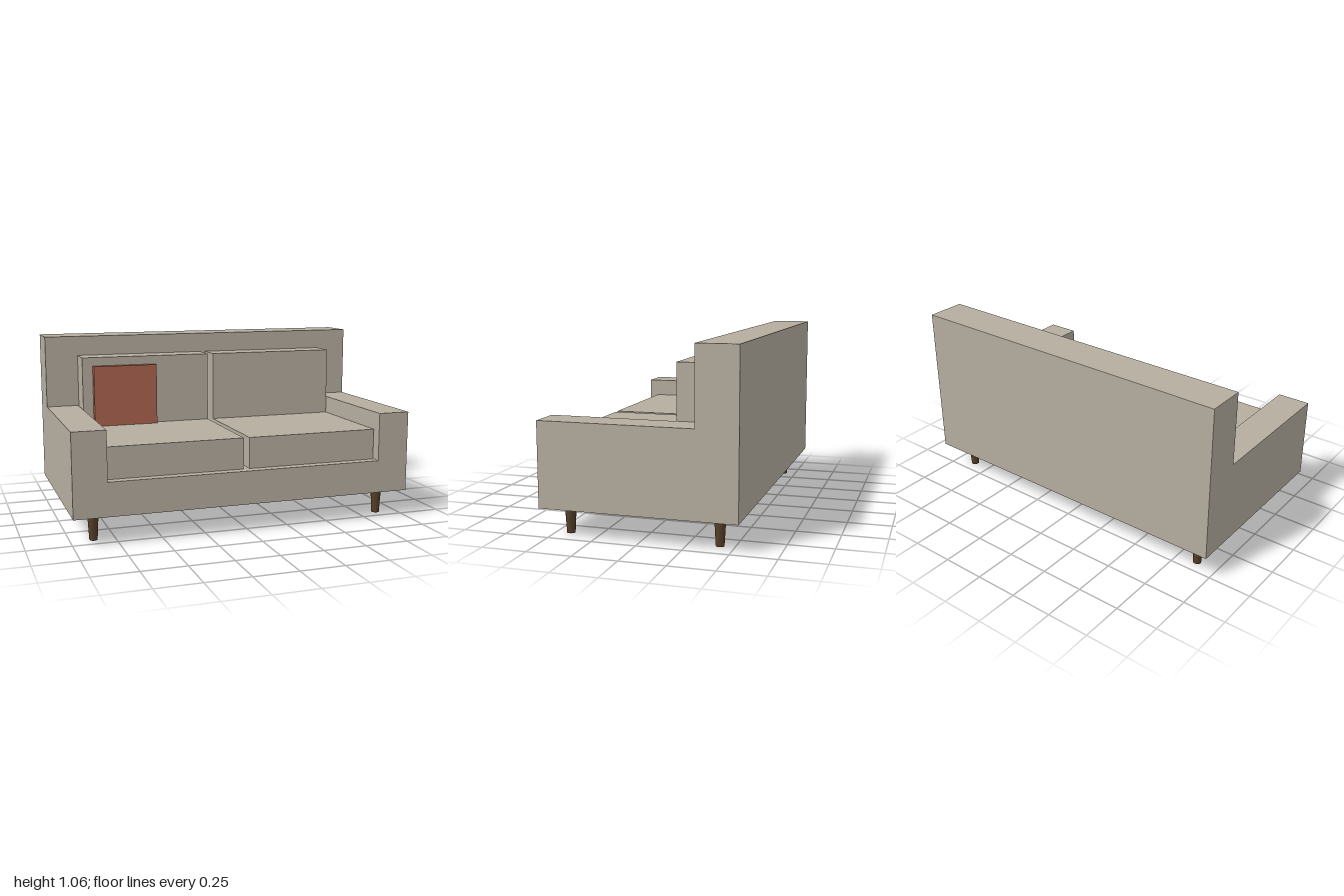
import * as THREE from 'three';

export function createModel() {
  const sofa = new THREE.Group();
  sofa.name = 'sofa';

  const material = (name, color) => {
    const m = new THREE.MeshStandardMaterial({ color });
    m.name = name;
    return m;
  };
  const fabric = material('beige fabric', 0xb5ad9f);
  const rust = material('rust fabric', 0xac6450);
  const wood = material('dark wood', 0x553e28);

  const add = (name, geometry, mat) => {
    const mesh = new THREE.Mesh(geometry, mat);
    mesh.name = name;
    sofa.add(mesh);
    return mesh;
  };
  // Box given by its limits on each axis
  const block = (name, [x0, x1], [y0, y1], [z0, z1], mat) =>
    add(name, new THREE.BoxGeometry(x1 - x0, y1 - y0, z1 - z0), mat)
      .position.set((x0 + x1) / 2, (y0 + y1) / 2, (z0 + z1) / 2);

  const bottom = 0.157, deck = 0.35, seatTop = 0.53, armTop = 0.633;
  const backFront = -0.32, front = 0.548;

  // Base and both arms: one U-shaped section run from front to back
  const section = new THREE.Shape([
    [-1, bottom], [1, bottom], [1, armTop], [0.81, armTop],
    [0.81, deck], [-0.81, deck], [-0.81, armTop], [-1, armTop],
  ].map(([x, y]) => new THREE.Vector2(x, y)));
  add('baseAndArms', new THREE.ExtrudeGeometry(section, { depth: front - backFront, bevelEnabled: false }), fabric)
    .position.z = backFront;

  block('backrest', [-1, 1], [bottom, 1.06], [-front, backFront], fabric);

  // Cushions, one pair per side
  for (const [side, x] of [['right', [-0.805, -0.017]], ['left', [0.017, 0.805]]]) {
    block(side + 'SeatCushion', x, [deck, seatTop], [backFront, 0.492], fabric);
    block(side + 'BackCushion', x, [seatTop, 0.943], [backFront, -0.163], fabric);
  }

  block('throwPillow', [-0.743, -0.357], [seatTop, 0.892], [-0.163, -0.124], rust);

  // Tapered legs
  const leg = new THREE.CylinderGeometry(0.032, 0.023, bottom, 16);
  for (const x of [-0.871, 0.871])
    for (const z of [-0.42, 0.42])
      add((z > 0 ? 'front' : 'back') + (x > 0 ? 'Left' : 'Right') + 'Leg', leg, wood)
        .position.set(x, bottom / 2, z);

  return sofa;
}
